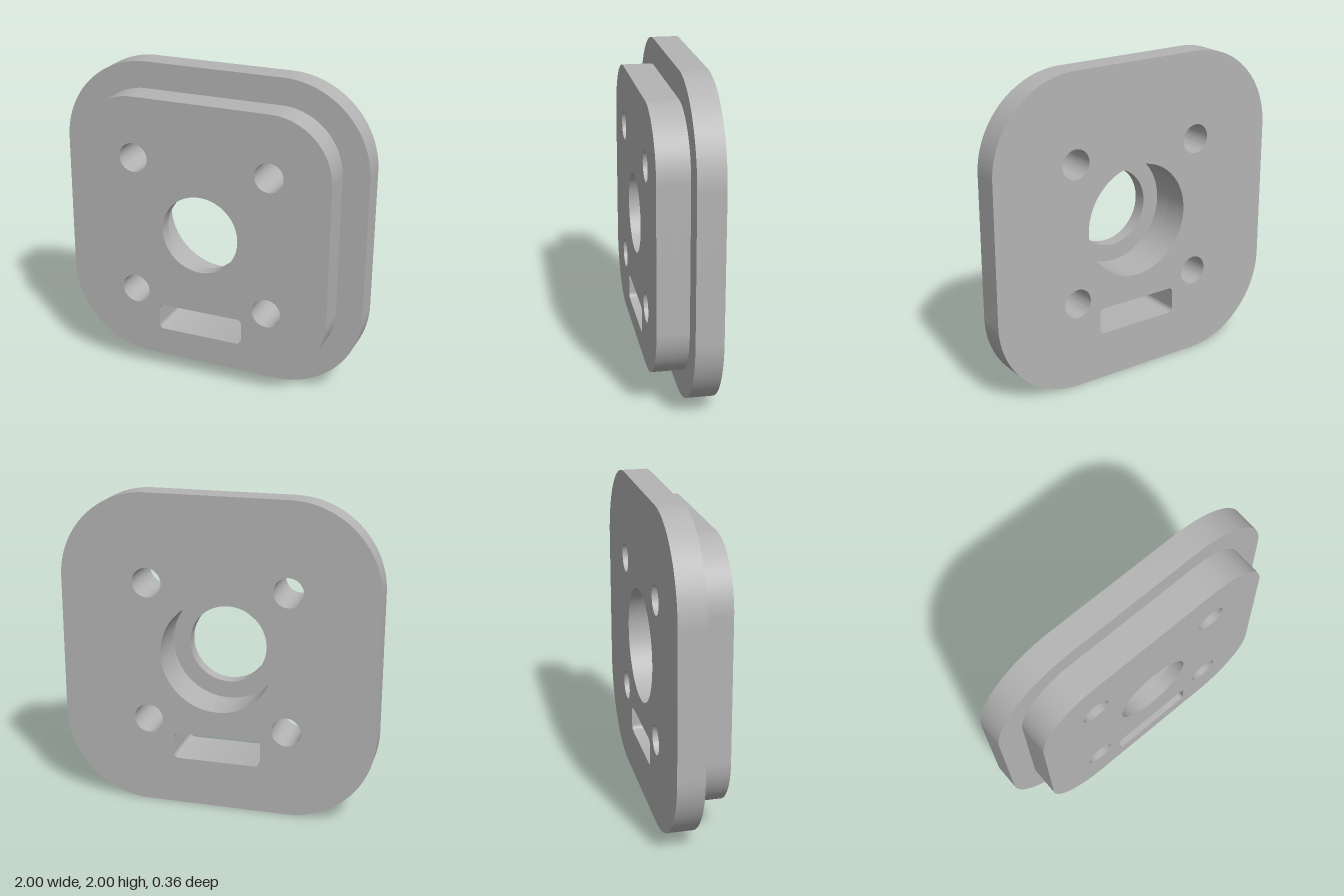
import * as THREE from 'three';
import { toCreasedNormals } from 'three/addons/utils/BufferGeometryUtils.js';

const CORNER = 0.444; // corner arc centres and bolt holes share this offset
const CENTRE_Y = 1;

// Traces a rounded rectangle counter-clockwise
function roundedRect(path, cx, cy, hw, hh, r) {
  path.moveTo(cx + hw, cy - hh + r);
  path.absarc(cx + hw - r, cy + hh - r, r, 0, Math.PI / 2, false);
  path.absarc(cx - hw + r, cy + hh - r, r, Math.PI / 2, Math.PI, false);
  path.absarc(cx - hw + r, cy - hh + r, r, Math.PI, Math.PI * 1.5, false);
  path.absarc(cx + hw - r, cy - hh + r, r, Math.PI * 1.5, Math.PI * 2, false);
  path.closePath();
  return path;
}

function circle(x, y, r) {
  return new THREE.Path().absarc(x, y, r, 0, Math.PI * 2, true);
}

// A rounded square plate with bore, four bolt holes and slot, from z0 to z1
function plate(name, half, bore, z0, z1, material) {
  const shape = roundedRect(new THREE.Shape(), 0, CENTRE_Y, half, half, half - CORNER);
  shape.holes.push(circle(0, CENTRE_Y, bore));
  for (const sx of [-1, 1]) {
    for (const sy of [-1, 1]) {
      shape.holes.push(circle(sx * CORNER, CENTRE_Y + sy * CORNER, 0.093));
    }
  }
  shape.holes.push(roundedRect(new THREE.Path(), 0, 0.389, 0.28, 0.085, 0.03));
  const extruded = new THREE.ExtrudeGeometry(shape, {
    depth: z1 - z0, bevelEnabled: false, curveSegments: 32,
  });
  extruded.clearGroups();
  extruded.translate(0, 0, z0);
  const mesh = new THREE.Mesh(toCreasedNormals(extruded, Math.PI / 6), material);
  mesh.name = name;
  return mesh;
}

export function createModel() {
  const grey = new THREE.MeshStandardMaterial({ color: 0xb4b4b4 });
  grey.name = 'plain grey';

  const group = new THREE.Group();
  group.name = 'mountingPlate';
  group.add(
    plate('backFlange', 1, 0.36, -0.18, -0.014, grey),
    // Raised front block: wide counterbore behind, narrow lip in front
    plate('frontBlock', 0.832, 0.36, -0.014, 0.095, grey),
    plate('frontLip', 0.832, 0.25, 0.095, 0.18, grey),
  );
  return group;
}
